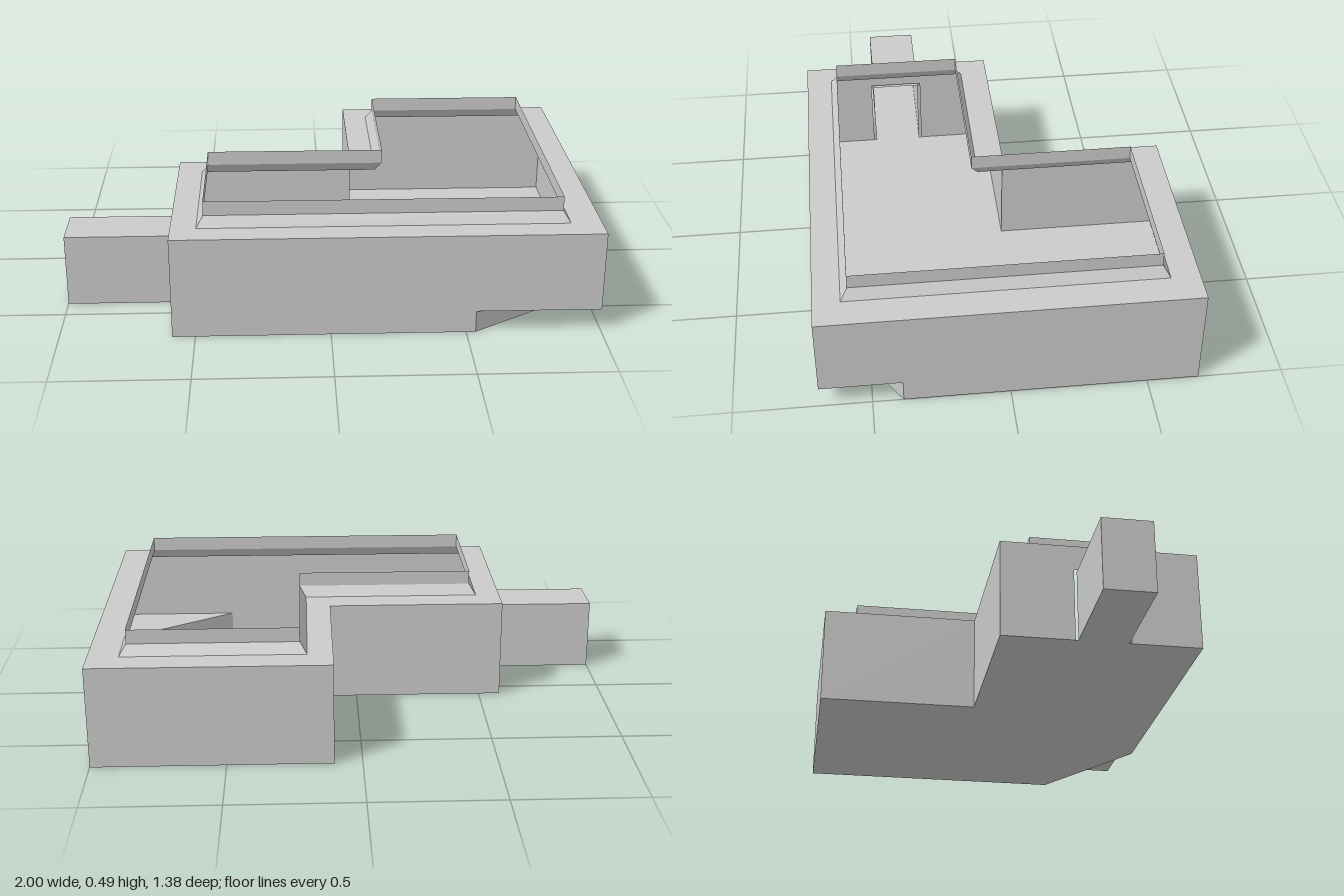
import * as THREE from 'three';

const material = new THREE.MeshStandardMaterial({ color: 0xcccccc, flatShading: true, side: THREE.DoubleSide });
const H = 0.39; // roof height

const shapeOf = (pts) => new THREE.Shape(pts.map(([a, b]) => new THREE.Vector2(a, b)));

function add(group, name, geometry) {
  const mesh = new THREE.Mesh(geometry, material);
  mesh.name = name;
  group.add(mesh);
  return mesh;
}

// Flat upright sheet above the line a -> b; profile points are (distance along the line, height).
function panel(group, name, a, b, profile) {
  const d = new THREE.Vector3(b[0] - a[0], 0, b[1] - a[1]).normalize();
  const up = new THREE.Vector3(0, 1, 0);
  const m = new THREE.Matrix4().makeBasis(d, up, d.clone().cross(up)).setPosition(a[0], 0, a[1]);
  add(group, name, new THREE.ShapeGeometry(shapeOf(profile)).applyMatrix4(m));
}

// Horizontal sheet from an [x, z] outline, facing up or down.
function slab(group, name, outline, y, faceUp, hole) {
  const s = faceUp ? -1 : 1;
  const flip = (pts) => pts.map(([x, z]) => [x, s * z]);
  const shape = shapeOf(flip(outline));
  if (hole) shape.holes.push(shapeOf(flip(hole)));
  add(group, name, new THREE.ShapeGeometry(shape).rotateX(s * Math.PI / 2).translate(0, y, 0));
}

// Band of quads joining two [x, z] outlines at two heights.
function band(group, name, low, y0, high, y1) {
  const pos = [];
  low.forEach((a, i) => {
    const j = (i + 1) % low.length;
    const b = low[j], c = high[j], d = high[i];
    const A = [a[0], y0, a[1]], B = [b[0], y0, b[1]], C = [c[0], y1, c[1]], D = [d[0], y1, d[1]];
    pos.push(...A, ...B, ...C, ...A, ...C, ...D);
  });
  const g = new THREE.BufferGeometry();
  g.setAttribute('position', new THREE.Float32BufferAttribute(pos, 3));
  g.computeVertexNormals();
  add(group, name, g);
}

// L-shaped outline, counter-clockwise from above, starting at the front right corner.
const lShape = (x0, x1, xi, z0, z1, zi) => [[x0, z1], [x1, z1], [x1, z0], [xi, z0], [xi, zi], [x0, zi]];

export function createModel() {
  const model = new THREE.Group();
  model.name = 'hollowLShapedShell';

  const body = lShape(-0.585, 1, 0.105, -0.69, 0.69, -0.07);
  const collarBase = lShape(-0.49, 0.885, 0.2, -0.582, 0.59, 0.038);
  const collarTop = lShape(-0.464, 0.859, 0.226, -0.556, 0.564, 0.064);

  // Diagonal undercut at the front left corner
  const cutH = 0.085, cutA = [0.535, 0.69], cutB = [1, 0.388];
  const frontCut = cutA[0] + 0.585, sideCut = 0.69 - cutB[1];

  // Opening for the side passage, slightly larger than the passage itself
  const gap = 0.01, ductZ0 = 0.22, ductZ1 = 0.41, ductH = 0.28;
  const u0 = ductZ0 + 0.07 - gap, u1 = ductZ1 + 0.07 + gap;

  // Walls
  const names = ['frontWall', 'leftWall', 'backWall', 'innerCornerSideWall', 'innerCornerBackWall', 'rightWall'];
  body.forEach((a, i) => {
    const b = body[(i + 1) % 6];
    const w = Math.hypot(b[0] - a[0], b[1] - a[1]);
    let profile = [[0, 0], [w, 0], [w, H], [0, H]];
    if (i === 0) profile = [[0, 0], [frontCut, 0], [frontCut, cutH], [w, cutH], [w, H], [0, H]];
    if (i === 1) profile = [[0, cutH], [sideCut, cutH], [sideCut, 0], [w, 0], [w, H], [0, H]];
    if (i === 5) profile = [[0, 0], [u0, 0], [u0, ductH + gap], [u1, ductH + gap], [u1, 0], [w, 0], [w, H], [0, H]];
    panel(model, names[i], a, b, profile);
  });

  // Floor, undercut and roof
  slab(model, 'floor', [body[0], cutA, cutB, ...body.slice(2)], 0, false);
  slab(model, 'undercutCeiling', [cutA, body[1], cutB], cutH, false);
  const cutW = Math.hypot(cutB[0] - cutA[0], cutB[1] - cutA[1]);
  panel(model, 'undercutDiagonalWall', cutA, cutB, [[0, 0], [cutW, 0], [cutW, cutH], [0, cutH]]);
  slab(model, 'roofRim', body, H, true, collarBase);

  // Collar around the roof opening
  band(model, 'collarSlope', collarBase, H, collarTop, 0.43);
  band(model, 'collarLip', collarTop, 0.43, collarTop, 0.485);

  // Side passage, open towards the body
  const duct = new THREE.Group();
  duct.name = 'sidePassage';
  const ring = [[-0.585, ductZ0], [-1, ductZ0], [-1, ductZ1], [-0.585, ductZ1]];
  ['passageBackWall', 'passageEndWall', 'passageFrontWall'].forEach((name, i) => {
    const a = ring[i], b = ring[i + 1];
    const w = Math.hypot(b[0] - a[0], b[1] - a[1]);
    panel(duct, name, a, b, [[0, 0], [w, 0], [w, ductH], [0, ductH]]);
  });
  slab(duct, 'passageFloor', ring, 0, false);
  slab(duct, 'passageRoof', ring, ductH, true);
  model.add(duct);

  return model;
}
